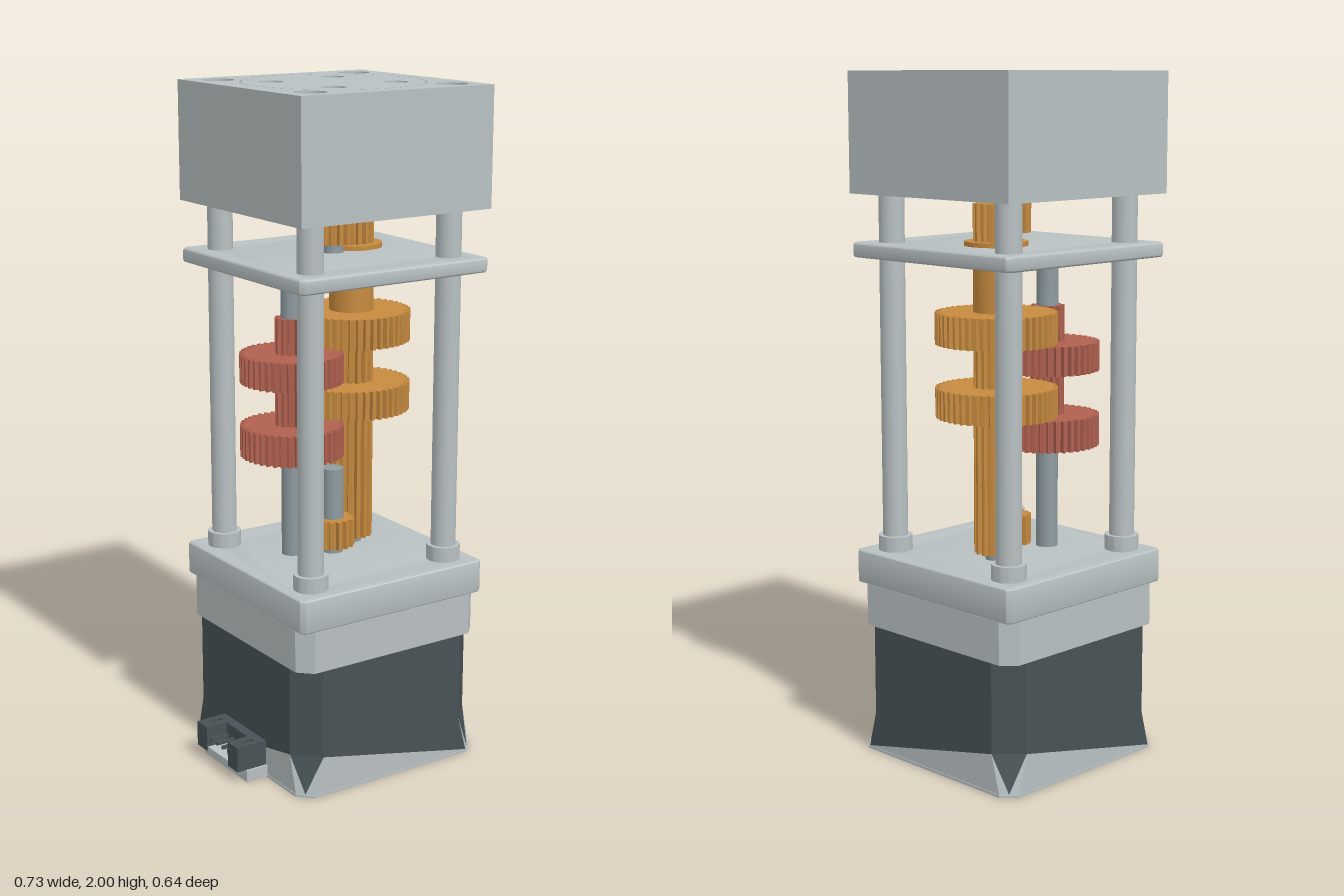
import * as THREE from 'three';
import { toCreasedNormals } from 'three/addons/utils/BufferGeometryUtils.js';

const mat = (name, color, side = THREE.FrontSide) => {
  const m = new THREE.MeshStandardMaterial({ color, side });
  m.name = name;
  return m;
};

export function createModel() {
  const light = mat('lightMetal', 0xb8c0c2, THREE.DoubleSide);
  const steel = mat('steel', 0x8e9ba0);
  const dark = mat('darkHousing', 0x485256);
  const gold = mat('brass', 0xc68a3e);
  const red = mat('copperRed', 0xb0604f);

  const model = new THREE.Group();
  const unit = new THREE.Group();
  unit.name = 'gearedMotor';
  unit.position.x = 0.045;
  model.add(unit);

  const add = (name, geo, material, x = 0, y = 0, z = 0) => {
    const m = new THREE.Mesh(geo, material);
    m.name = name;
    m.position.set(x, y, z);
    unit.add(m);
    return m;
  };
  const cyl = (name, r, y0, y1, material, x = 0, z = 0) =>
    add(name, new THREE.CylinderGeometry(r, r, y1 - y0, 32), material, x, (y0 + y1) / 2, z);
  const box = (name, x0, x1, y0, y1, z0, z1, material) =>
    add(name, new THREE.BoxGeometry(x1 - x0, y1 - y0, z1 - z0), material,
      (x0 + x1) / 2, (y0 + y1) / 2, (z0 + z1) / 2);

  // Outline in x/z extruded upward; holes are [x, z, radius]
  const slab = (name, pts, holes, y0, y1, material, bevel = 0, x = 0, z = 0) => {
    const shape = new THREE.Shape(pts.map(([px, pz]) => new THREE.Vector2(px, -pz)));
    for (const [hx, hz, r] of holes) {
      shape.holes.push(new THREE.Path().absarc(hx, -hz, r, 0, Math.PI * 2, true));
    }
    const geo = new THREE.ExtrudeGeometry(shape, {
      depth: y1 - y0 - 2 * bevel, curveSegments: 24, bevelEnabled: bevel > 0,
      bevelSize: bevel, bevelThickness: bevel, bevelOffset: -bevel, bevelSegments: 3,
    });
    geo.rotateX(-Math.PI / 2).translate(0, y0 + bevel, 0);
    return add(name, toCreasedNormals(geo, 0.5), material, x, 0, z);
  };
  const octagon = (h, c) => {
    const a = h - c;
    return [[-a, h], [a, h], [h, a], [h, -a], [a, -h], [-a, -h], [-h, -a], [-h, a]];
  };
  const circle = (r, n = 40) => Array.from({ length: n }, (_, i) => {
    const t = (i / n) * Math.PI * 2;
    return [r * Math.cos(t), r * Math.sin(t)];
  });

  const P = 0.236;
  const corners = [[P, P], [P, -P], [-P, P], [-P, -P]];
  const bores = (r) => corners.map(([x, z]) => [x, z, r]);
  const square = [[-0.32, 0.32], [0.32, 0.32], [0.32, -0.32], [-0.32, -0.32]];

  // Motor: base, dark body, upper cap and flange
  slab('motorBasePlate', octagon(0.317, 0.04), [...bores(0.036), [0, 0, 0.042]], 0, 0.008, light);
  slab('motorBaseCore', octagon(0.309, 0.075), [...bores(0.036), [0, 0, 0.042]], 0.008, 0.12, light);
  slab('motorBody', octagon(0.315, 0.07), bores(0.025), 0.12, 0.385, dark);
  slab('motorUpperCap', octagon(0.315, 0.04), bores(0.025), 0.385, 0.51, light);
  slab('motorFlange', octagon(0.32, 0.012), bores(0.025), 0.51, 0.61, light, 0.008);

  // Two-tone skirt between the body and the base
  const top = octagon(0.315, 0.07).map(([x, z]) => [x, 0.12, z]);
  const bottom = octagon(0.315, 0.04).map(([x, z]) => [x, 0.008, z]);
  const pale = [], deep = [];
  for (let i = 0; i < 8; i++) {
    const j = (i + 1) % 8;
    const bi = bottom[i], bj = bottom[j], ti = top[i], tj = top[j];
    if (i % 4 === 0) {
      pale.push(bi, bj, ti);
      deep.push(bj, tj, ti);
    } else if (i % 4 === 2) {
      pale.push(bi, bj, tj);
      deep.push(bi, tj, ti);
    } else {
      const m = bi.map((v, k) => (v + bj[k]) / 2);
      pale.push(bi, m, ti, m, bj, tj);
      deep.push(m, tj, ti);
    }
  }
  for (const [name, list, material] of [['skirtLight', pale, light], ['skirtDark', deep, dark]]) {
    const geo = new THREE.BufferGeometry();
    geo.setAttribute('position', new THREE.Float32BufferAttribute(list.flat(), 3));
    geo.computeVertexNormals();
    add(name, geo, material);
  }

  // Cable socket on the right side
  box('socketTab', -0.385, -0.3, 0, 0.037, -0.122, 0.122, light);
  box('socketBackWall', -0.345, -0.31, 0.037, 0.113, -0.115, 0.115, dark);
  box('socketFloor', -0.41, -0.345, 0.037, 0.05, -0.06, 0.06, light);
  for (const s of [-1, 1]) {
    const arm = (name, x0, x1, y1, za, zb, m) =>
      box(name, x0, x1, 0.037, y1, Math.min(s * za, s * zb), Math.max(s * za, s * zb), m);
    arm('socketInnerArm', -0.413, -0.345, 0.113, 0.06, 0.081, dark);
    arm('socketOuterArm', -0.413, -0.345, 0.113, 0.097, 0.115, dark);
    arm('socketArmEnd', -0.413, -0.385, 0.113, 0.081, 0.097, dark);
    arm('socketSlotFloor', -0.385, -0.345, 0.06, 0.081, 0.097, light);
  }
  for (const z of [-0.049, -0.017, 0.016, 0.046]) {
    box('socketPin', -0.405, -0.345, 0.07, 0.08, z - 0.004, z + 0.004, dark);
  }

  // Hollow posts with collars, and the middle plate
  for (const [x, z] of corners) {
    add('post', new THREE.CylinderGeometry(0.037, 0.037, 1.045, 32, 1, true), light, x, 1.1325, z);
    slab('postCollar', circle(0.05), [[0, 0, 0.026]], 0.61, 0.655, light, 0, x, z);
  }
  slab('middlePlate', octagon(0.32, 0.012), bores(0.03), 1.473, 1.517, light, 0.01);

  // Output block: counterbored corners and four blind face holes
  const faceHoles = [[0.098, -0.147], [0.146, 0.098], [-0.098, 0.145], [-0.146, -0.099]];
  slab('outputBlockLower', square, bores(0.026), 1.655, 1.94, light);
  slab('outputBlockUpper', square,
    [...bores(0.046), ...faceHoles.map(([x, z]) => [x, z, 0.035])], 1.94, 2, light);
  for (const [x, z] of corners) {
    slab('counterboreFloor', circle(0.046), [[0, 0, 0.026]], 1.94, 1.945, steel, 0, x, z);
  }
  for (const [x, z] of faceHoles) cyl('faceHoleFloor', 0.035, 1.94, 1.945, steel, x, z);
  const ring = new THREE.RingGeometry(0.26, 0.264, 96).rotateX(-Math.PI / 2);
  add('outputDiscSeam', ring, steel, 0, 2.0006, 0);

  // Spur gear with trapezoidal teeth
  const gear = (name, r, teeth, y0, y1, material, [x, z]) => {
    const depth = 0.013, pts = [];
    for (let i = 0; i < teeth; i++) {
      for (const [f, rr] of [[0, r - depth], [0.3, r - depth], [0.45, r], [0.8, r]]) {
        const t = ((i + f) / teeth) * Math.PI * 2;
        pts.push([rr * Math.cos(t), rr * Math.sin(t)]);
      }
    }
    slab(name, pts, [], y0, y1, material, 0, x, z);
  };
  const center = [0, 0], axisA = [0.103, -0.055], axisB = [-0.111, -0.05];

  // Motor shaft and pinion
  cyl('motorShaft', 0.032, 0.61, 0.87, steel);
  gear('motorPinion', 0.066, 16, 0.63, 0.716, gold, center);

  // Brass gear train
  cyl('brassGearShaft', 0.034, 0.61, 1.45, steel, ...axisA);
  gear('longPinion', 0.066, 16, 0.63, 1.01, gold, axisA);
  gear('lowerBrassGear', 0.175, 48, 1.03, 1.115, gold, axisA);
  gear('brassPinion', 0.066, 16, 1.115, 1.225, gold, axisA);
  gear('upperBrassGear', 0.175, 48, 1.24, 1.33, gold, axisA);
  cyl('brassSleeve', 0.066, 1.33, 1.517, gold, ...axisA);
  cyl('sleeveFlange', 0.09, 1.517, 1.53, gold, ...axisA);
  gear('topPinion', 0.066, 16, 1.53, 1.635, gold, axisA);

  // Red gear train
  cyl('redGearShaft', 0.032, 0.61, 1.473, steel, ...axisB);
  gear('lowerRedGear', 0.153, 42, 0.918, 1.01, red, axisB);
  gear('lowerRedPinion', 0.05, 13, 1.01, 1.125, red, axisB);
  gear('upperRedGear', 0.153, 42, 1.14, 1.225, red, axisB);
  gear('upperRedPinion', 0.05, 13, 1.225, 1.33, red, axisB);

  // Output pinion under the block
  cyl('outputStem', 0.03, 1.517, 1.545, steel);
  gear('outputPinion', 0.066, 16, 1.545, 1.635, gold, center);
  cyl('outputHub', 0.042, 1.635, 1.655, gold);

  return model;
}
